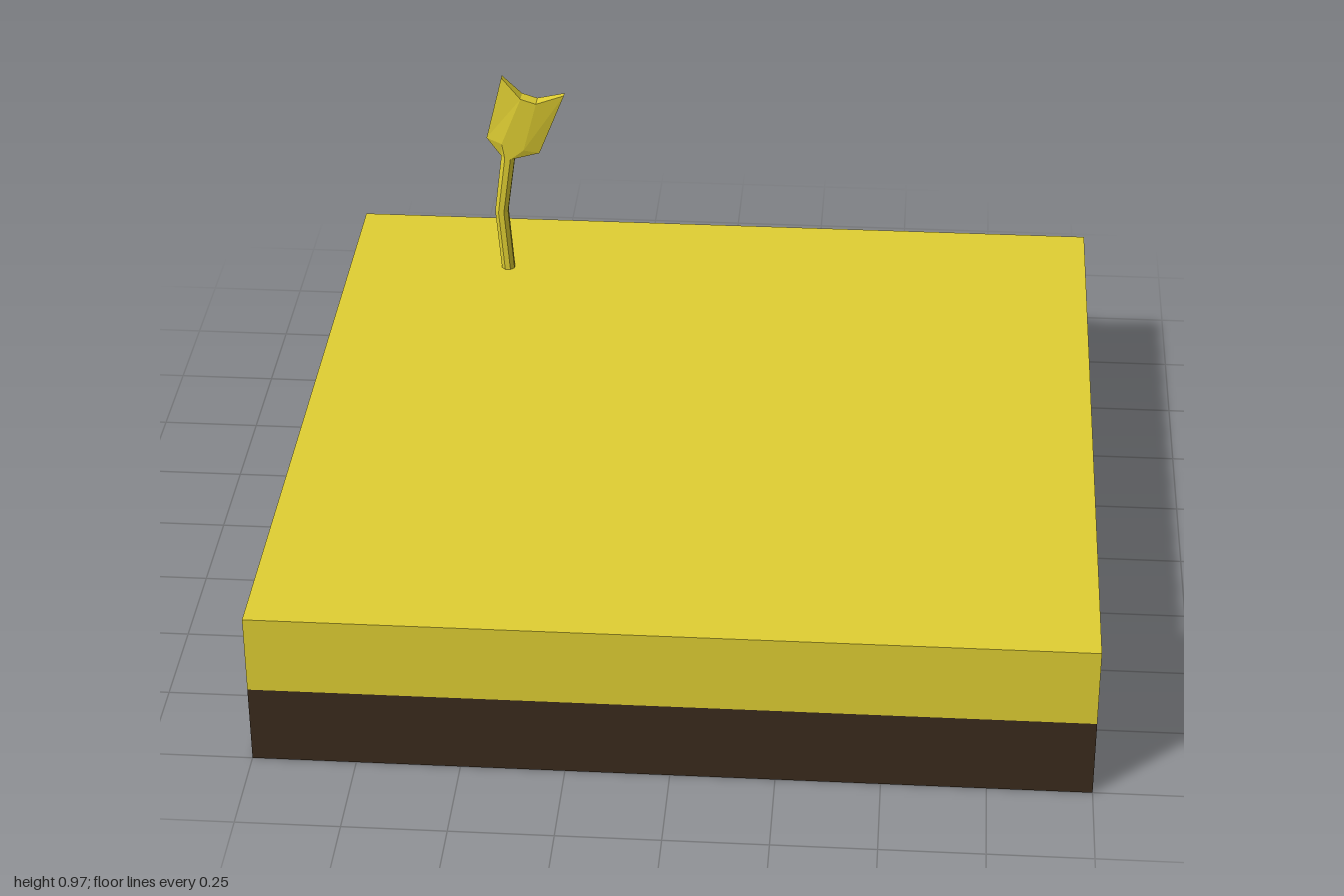
import * as THREE from 'three';

const YELLOW = 0xe0cf32, SOIL = 0x3a2b1c;

// Depth (half z) of the four columns of an eight-sided section, left to right
const DEPTH = [0.008, 0.019, 0.019, 0.008];

// A straight section: four columns interpolated between its left and right ends
function section(x0, y0, x1, y1) {
  return [0, 0.293, 0.707, 1].map((t) => [x0 + (x1 - x0) * t, y0 + (y1 - y0) * t]);
}

// Skin sections (bottom to top) into a flat-shaded, closed solid
function loft(sections) {
  const pos = [], index = [];
  for (const s of sections) {
    for (let k = 0; k < 4; k++) pos.push(s[k][0], s[k][1], DEPTH[k]);
    for (let k = 3; k >= 0; k--) pos.push(s[k][0], s[k][1], -DEPTH[k]);
  }
  const quad = (a, b, c, d) => index.push(a, b, c, a, c, d);
  for (let r = 0; r < sections.length - 1; r++) {
    for (let i = 0; i < 8; i++) {
      const j = (i + 1) % 8, o = r * 8;
      quad(o + i, o + j, o + 8 + j, o + 8 + i);
    }
  }
  const top = (sections.length - 1) * 8;
  for (let k = 0; k < 3; k++) {
    quad(top + k, top + k + 1, top + 6 - k, top + 7 - k);
    quad(7 - k, 6 - k, k + 1, k);
  }
  const indexed = new THREE.BufferGeometry();
  indexed.setAttribute('position', new THREE.Float32BufferAttribute(pos, 3));
  indexed.setIndex(index);
  const geometry = indexed.toNonIndexed();
  geometry.computeVertexNormals();
  return geometry;
}

export function createModel() {
  const model = new THREE.Group();
  const add = (name, geometry, color, y = 0, z = 0) => {
    const material = new THREE.MeshStandardMaterial({ color, flatShading: true });
    const mesh = new THREE.Mesh(geometry, material);
    mesh.name = name;
    mesh.position.set(0, y, z);
    model.add(mesh);
  };

  // Ground slab in two layers
  add('soilLayer', new THREE.BoxGeometry(2, 0.2, 2), SOIL, 0.1);
  add('grassLayer', new THREE.BoxGeometry(2, 0.2, 2), YELLOW, 0.3);

  // Sprout: bent stem flaring into a flat, notched head
  add('sprout', loft([
    section(-0.586, 0.4, -0.552, 0.4),
    section(-0.6, 0.575, -0.565, 0.575),
    section(-0.579, 0.742, -0.543, 0.735),
    section(-0.617, 0.795, -0.476, 0.754),
    [[-0.573, 0.974], [-0.522, 0.918], [-0.481, 0.905], [-0.407, 0.927]],
  ]), YELLOW, 0, -0.727);

  return model;
}
